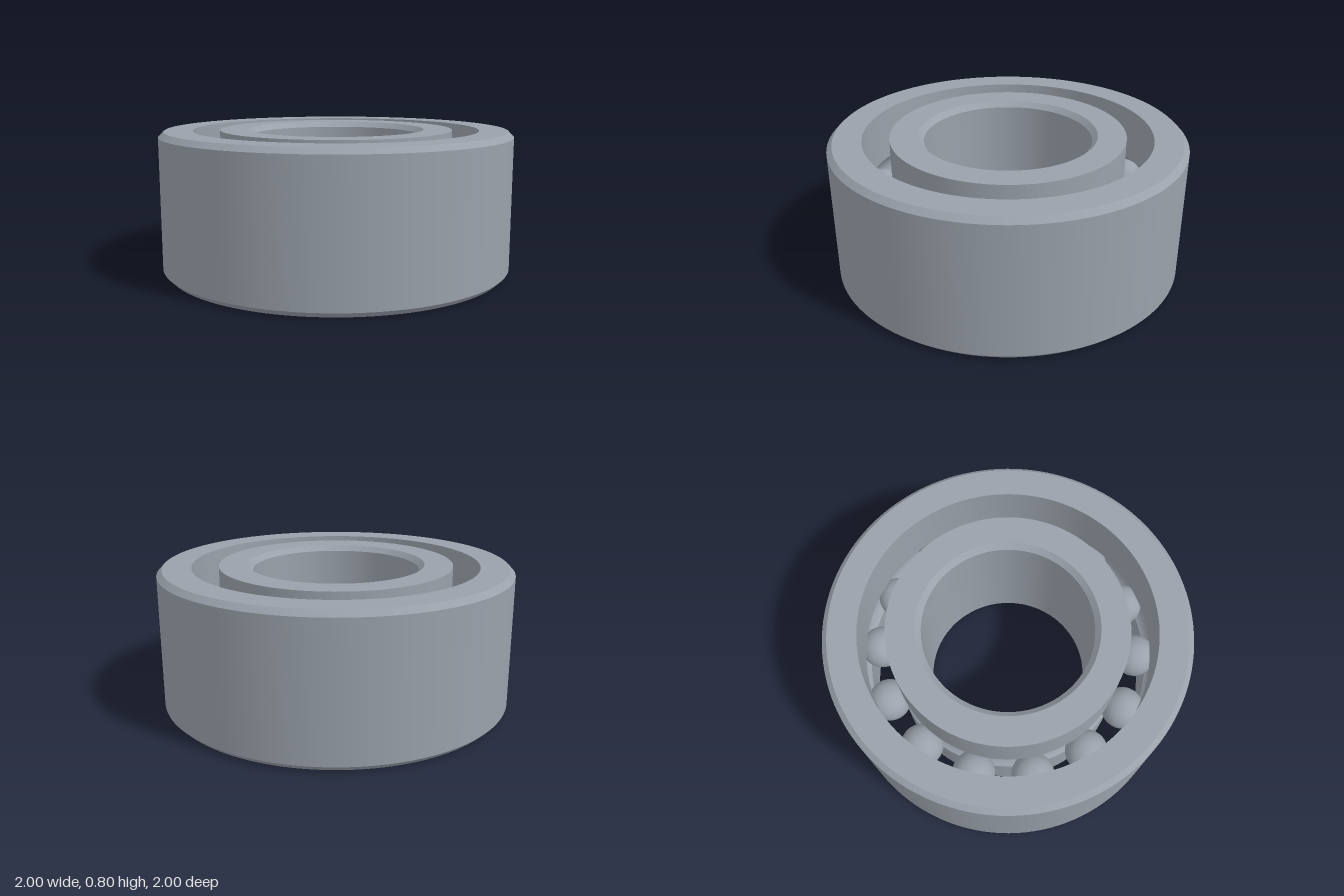
import * as THREE from 'three';
import { toCreasedNormals } from 'three/addons/utils/BufferGeometryUtils.js';

const HEIGHT = 0.8, CHAMFER = 0.03;
const OUTER_R = 1, OUTER_LIP = 0.81, INNER_LIP = 0.66, BORE_R = 0.47;
const PITCH_R = 0.735, BALL_R = 0.119, GROOVE_R = 0.121, BALLS = 14;

// Circular raceway section between two angles, centred on the ball path
function groove(from, to, steps = 16) {
  return Array.from({ length: steps + 1 }, (_, i) => {
    const a = from + (to - from) * i / steps;
    return [PITCH_R + GROOVE_R * Math.cos(a), HEIGHT / 2 + GROOVE_R * Math.sin(a)];
  });
}

// Revolves a closed, counter-clockwise (radius, y) section into a ring
function ring(name, section, material) {
  const points = [...section, section[0]].map(([r, y]) => new THREE.Vector2(r, y));
  const geometry = toCreasedNormals(new THREE.LatheGeometry(points, 128), 0.5);
  const mesh = new THREE.Mesh(geometry, material);
  mesh.name = name;
  return mesh;
}

export function createModel() {
  const model = new THREE.Group();
  model.name = 'ballBearing';
  const steel = new THREE.MeshStandardMaterial({ color: 0x9aa1ab });
  steel.name = 'steel';

  // Outer ring: chamfered outside, raceway inside
  const outerAngle = Math.acos((OUTER_LIP - PITCH_R) / GROOVE_R);
  model.add(ring('outerRing', [
    [OUTER_LIP, 0], [OUTER_R - CHAMFER, 0], [OUTER_R, CHAMFER],
    [OUTER_R, HEIGHT - CHAMFER], [OUTER_R - CHAMFER, HEIGHT], [OUTER_LIP, HEIGHT],
    ...groove(outerAngle, -outerAngle),
  ], steel));

  // Inner ring: raceway outside, chamfered bore
  const innerAngle = Math.acos((PITCH_R - INNER_LIP) / GROOVE_R);
  model.add(ring('innerRing', [
    [INNER_LIP, 0], ...groove(Math.PI + innerAngle, Math.PI - innerAngle), [INNER_LIP, HEIGHT],
    [BORE_R + CHAMFER, HEIGHT], [BORE_R, HEIGHT - CHAMFER],
    [BORE_R, CHAMFER], [BORE_R + CHAMFER, 0],
  ], steel));

  // Balls evenly spaced in the raceway, with a slight turn
  const balls = new THREE.Group();
  balls.name = 'balls';
  const ballGeometry = new THREE.SphereGeometry(BALL_R, 40, 24);
  for (let i = 0; i < BALLS; i++) {
    const a = i / BALLS * Math.PI * 2 + 0.014;
    const ball = new THREE.Mesh(ballGeometry, steel);
    ball.name = `ball${i + 1}`;
    ball.position.set(PITCH_R * Math.sin(a), HEIGHT / 2, PITCH_R * Math.cos(a));
    balls.add(ball);
  }
  model.add(balls);
  return model;
}
